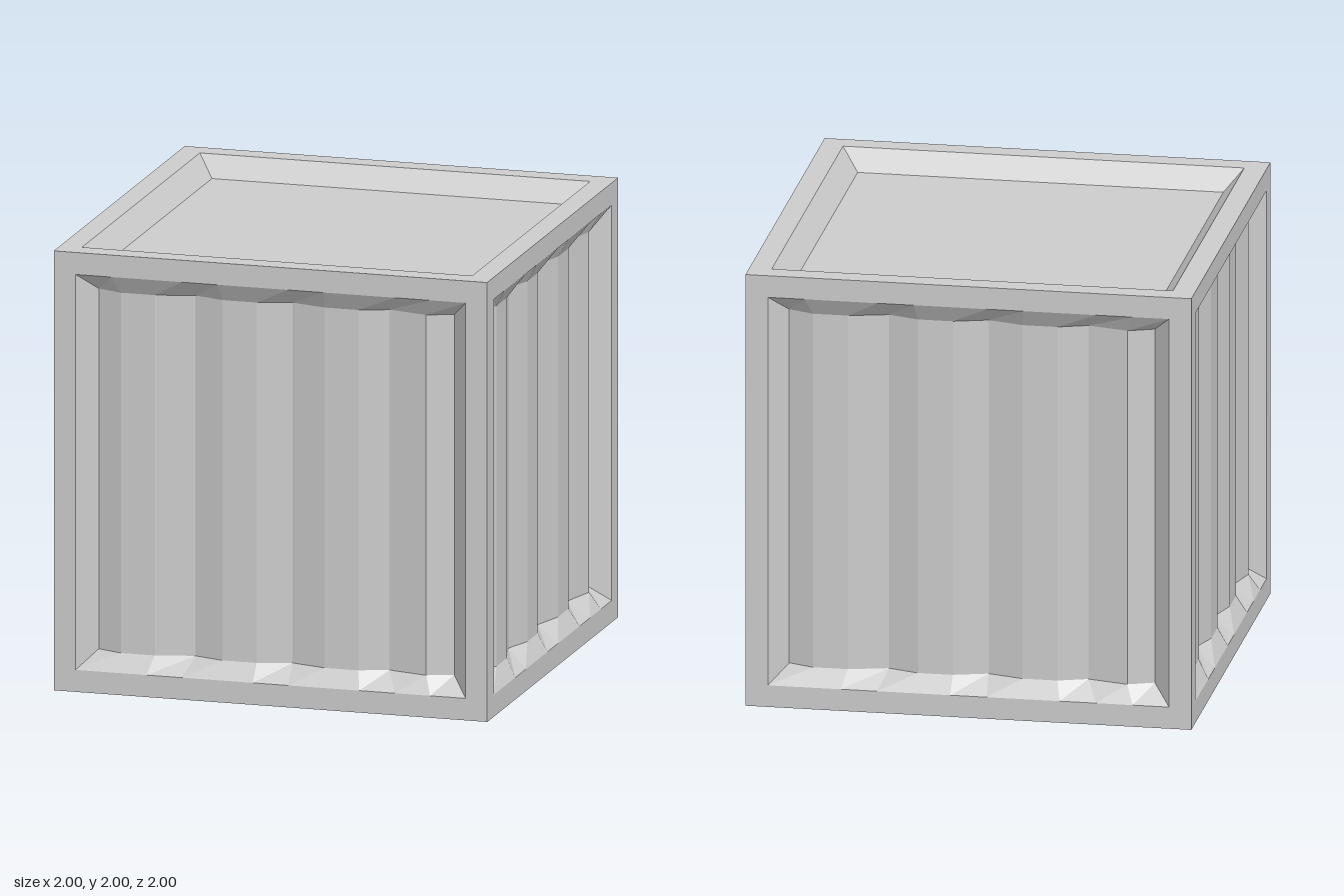
import * as THREE from 'three';

const OPEN = 0.9;      // half size of the frame opening
const INNER = 0.82;    // half size of the recessed panel
const DEPTH = 0.092;   // recess depth
const RIDGE = 1.05;    // outward scale of the corrugation ridges

const material = new THREE.MeshStandardMaterial({ color: 0xcccccc, flatShading: true });

// Flat square rim around one opening, in the plane z = 1
function rimGeometry() {
  const square = (h) => [[-h, -h], [h, -h], [h, h], [-h, h]].map(([x, y]) => new THREE.Vector2(x, y));
  const shape = new THREE.Shape(square(1));
  shape.holes.push(new THREE.Path(square(OPEN).reverse()));
  return new THREE.ShapeGeometry(shape).translate(0, 0, 1);
}

// Recessed panel with bevelled border; ridges[i] lifts column i of the panel
function panelGeometry(ridges) {
  const pos = [];
  const quad = (a, b, c, d) => pos.push(...a, ...b, ...c, ...a, ...c, ...d);
  const n = ridges.length - 1;

  // Each column runs from the lower lip, over the panel, to the upper lip
  const columns = ridges.map((ridge, i) => {
    const t = -1 + (2 * i) / n;
    const s = ridge ? RIDGE : 1;
    const x = t * INNER * s, z = (1 - DEPTH) * s;
    return [[t * OPEN, -OPEN, 1], [x, -INNER, z], [x, INNER, z], [t * OPEN, OPEN, 1]];
  });
  for (let i = 0; i < n; i++) {
    for (let j = 0; j < 3; j++) {
      quad(columns[i][j], columns[i + 1][j], columns[i + 1][j + 1], columns[i][j + 1]);
    }
  }
  // Side bevels
  const [l0, l1, l2, l3] = columns[0];
  const [r0, r1, r2, r3] = columns[n];
  quad(l0, l1, l2, l3);
  quad(r1, r0, r3, r2);

  const geometry = new THREE.BufferGeometry();
  geometry.setAttribute('position', new THREE.Float32BufferAttribute(pos, 3));
  geometry.computeVertexNormals();
  return geometry;
}

export function createModel() {
  const model = new THREE.Group();
  model.name = 'container';

  const rim = rimGeometry();
  const corrugated = panelGeometry([0, 1, 1, 0, 1, 1, 0, 1, 1, 0, 1, 0]);
  const plain = panelGeometry([0, 0]);

  function addFace(name, panel, rx, ry) {
    const face = new THREE.Group();
    face.name = name;
    const frameMesh = new THREE.Mesh(rim, material);
    frameMesh.name = name + 'Frame';
    const panelMesh = new THREE.Mesh(panel, material);
    panelMesh.name = name + 'Panel';
    face.add(frameMesh, panelMesh);
    face.rotation.set(rx, ry, 0);
    face.position.y = 1;
    model.add(face);
  }

  // Four corrugated walls
  ['front', 'left', 'back', 'right'].forEach((name, i) => addFace(name, corrugated, 0, (i * Math.PI) / 2));
  // Plain lid and base
  addFace('top', plain, -Math.PI / 2, 0);
  addFace('bottom', plain, Math.PI / 2, 0);

  return model;
}
